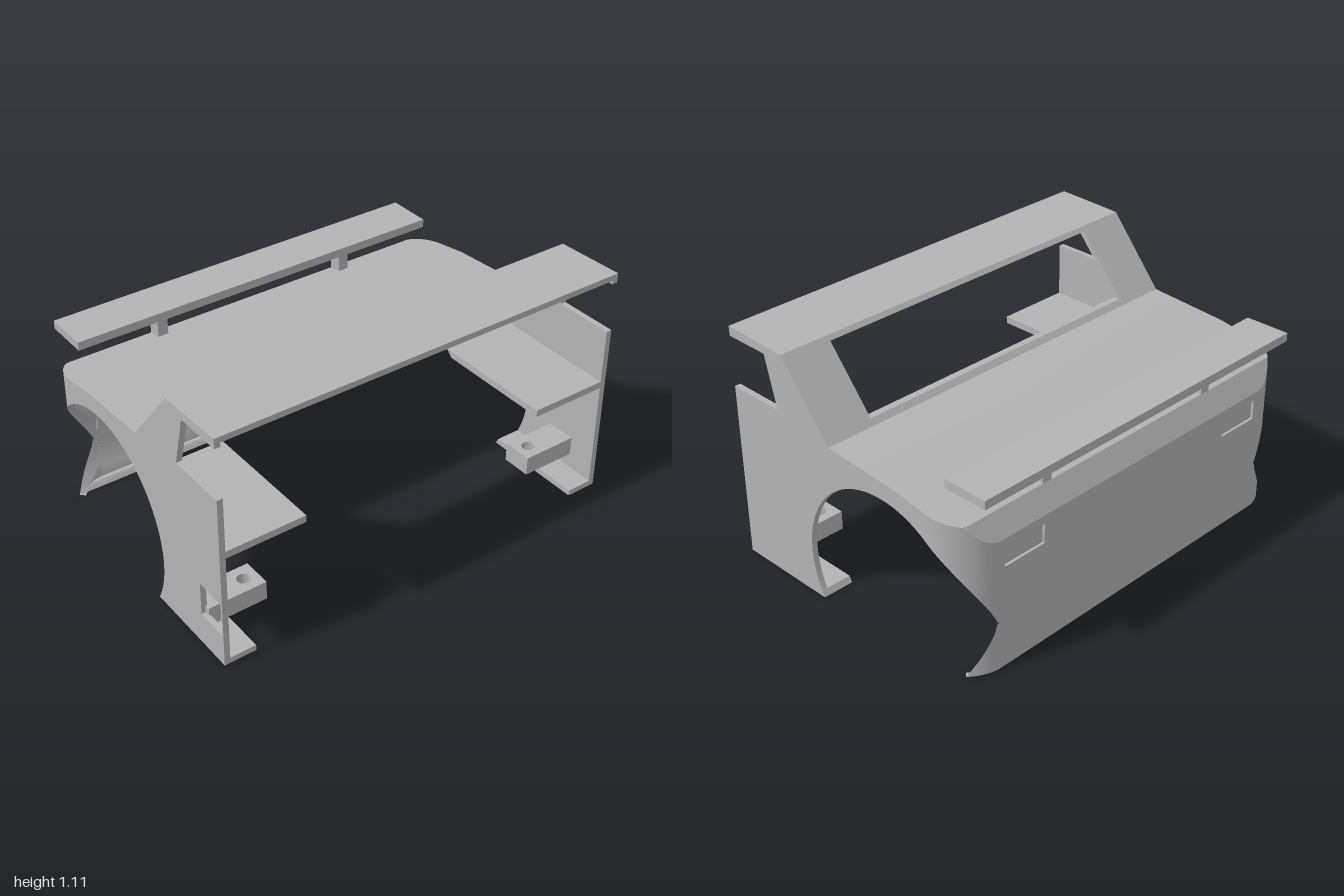
import * as THREE from 'three';
import { toCreasedNormals } from 'three/addons/utils/BufferGeometryUtils.js';

const T = 0.027;                       // shell thickness
const CX = -0.2, CY = 0.225, R = 0.4585; // wheel arch circle
const CORNER_X = -0.46, CORNER_Z = 0.8, CORNER_R = 0.2;

const OUTER = [[-0.66, 0.61], [-0.605, 0.71], [-0.29, 0.76], [0.1, 0.785], [0.365, 1.1], [0.7, 1.11]];
const INNER = [[-0.66, 0.59], [-0.633, 0.604], [-0.587, 0.685], [-0.287, 0.733], [0.11, 0.758], [0.378, 1.073], [0.7, 1.083]];

// Height of a polyline at x
function heightAt(line, x) {
  for (let i = 1; i < line.length; i++) {
    const [x0, y0] = line[i - 1], [x1, y1] = line[i];
    if (x <= x1) return y0 + (y1 - y0) * (Math.max(x, x0) - x0) / (x1 - x0);
  }
  return line[line.length - 1][1];
}
const xOnSlope = (line, i, y) =>
  line[i][0] + (line[i + 1][0] - line[i][0]) * (y - line[i][1]) / (line[i + 1][1] - line[i][1]);
const archHalf = (x) => Math.sqrt(Math.max(0, R * R - (x - CX) ** 2));
const archTop = (x) => CY + archHalf(x);
const archBottom = (x) => Math.max(0, CY - archHalf(x));
const archRightX = (y) => CX + Math.sqrt(R * R - (y - CY) ** 2);
const archLeftX = (y) => 2 * CX - archRightX(y);
const angleAt = (x, y) => Math.atan2(y - CY, x - CX);
const halfWidth = (x) => (x >= CORNER_X ? 1
  : CORNER_Z + Math.sqrt(Math.max(0, CORNER_R ** 2 - (x - CORNER_X) ** 2)));

// Skin a series of matching rings and close both ends
function loft(rings) {
  const pos = [];
  const tri = (a, b, c) => pos.push(...a, ...b, ...c);
  const n = rings[0].length, last = rings[rings.length - 1];
  for (let k = 0; k + 1 < rings.length; k++) {
    for (let i = 0; i < n; i++) {
      const j = (i + 1) % n, a = rings[k], b = rings[k + 1];
      tri(a[i], a[j], b[j]);
      tri(a[i], b[j], b[i]);
    }
  }
  for (let i = 1; i + 1 < n; i++) {
    tri(rings[0][0], rings[0][i + 1], rings[0][i]);
    tri(last[0], last[i], last[i + 1]);
  }
  const g = new THREE.BufferGeometry();
  g.setAttribute('position', new THREE.Float32BufferAttribute(pos, 3));
  return toCreasedNormals(g, 0.4);
}

// Full-width slab following the rounded plan of the tail
function slab(xs, bottom, top) {
  return loft(xs.map((x) => {
    const w = halfWidth(x) - 0.008, b = bottom(x), t = top(x);
    return [[x, b, w], [x, b, -w], [x, t, -w], [x, t, w]];
  }));
}
const range = (a, b, n) => Array.from({ length: n + 1 }, (_, i) => a + (b - a) * i / n);

const polygon = (pts) => new THREE.Shape(pts.map(([x, y]) => new THREE.Vector2(x, y)));
const rect = (x0, x1, y0, y1) => polygon([[x0, y0], [x1, y0], [x1, y1], [x0, y1]]);

// Side-view shape extruded from z0 to z1
function extrude(shape, z0, z1) {
  const g = new THREE.ExtrudeGeometry(shape, { depth: z1 - z0, bevelEnabled: false, curveSegments: 64 });
  return toCreasedNormals(g.translate(0, 0, z0), 0.4);
}

export function createModel() {
  const model = new THREE.Group();
  const paint = new THREE.MeshStandardMaterial({ color: 0xb4b4b4 });
  paint.name = 'bodyGrey';
  const add = (name, geometry) => {
    const m = new THREE.Mesh(geometry, paint);
    m.name = name;
    model.add(m);
  };
  const box = (name, x0, x1, y0, y1, z0, z1) => add(name,
    new THREE.BoxGeometry(x1 - x0, y1 - y0, z1 - z0).translate((x0 + x1) / 2, (y0 + y1) / 2, (z0 + z1) / 2));

  // Rear deck: rounded tail, then straight run up to the window sill
  const tailXs = [...range(0, 1, 14).map((t) => -0.66 + 0.2 * t * t), -0.633, -0.605, -0.587].sort((a, b) => a - b);
  add('deckTail', slab(tailXs, (x) => heightAt(INNER, x), (x) => heightAt(OUTER, x)));
  const sill = 0.81, head = 1.08;
  const so = [xOnSlope(OUTER, 3, sill), sill], si = [xOnSlope(INNER, 4, sill), sill];
  const ho = [xOnSlope(OUTER, 3, head), head], hi = [0.378, 1.073];
  add('deck', extrude(polygon([[CORNER_X, heightAt(OUTER, CORNER_X)], OUTER[2], OUTER[3], so, si,
    INNER[4], INNER[3], [CORNER_X, heightAt(INNER, CORNER_X)]]), -0.99, 0.99));

  // Roof and the window pillars
  add('roof', extrude(polygon([ho, OUTER[4], OUTER[5], INNER[6], hi]), -0.99, 0.99));
  for (const [z0, z1] of [[0.76, 0.99], [-0.99, -0.76]]) {
    add('windowPillar', extrude(polygon([so, ho, hi, si]), z0, z1));
  }

  for (const s of [1, -1]) {
    const span = (a, b) => (s > 0 ? [a, b] : [-b, -a]);

    // Side wall with wheel arch and side window
    const y0 = archTop(CORNER_X);
    const wall = polygon([[CORNER_X, y0], [CORNER_X, heightAt(OUTER, CORNER_X)], ...OUTER.slice(2),
      [0.7, 1.065], [0.475, 1.065], [0.415, 0.83], [0.7, 0.83], [0.7, 0], [archRightX(0), 0]]);
    wall.absarc(CX, CY, R, angleAt(archRightX(0), 0), angleAt(CORNER_X, y0), false);
    if (s > 0) wall.holes.push(rect(0.54, 0.69, 0.155, 0.315));
    add('sideWall', extrude(wall, ...span(1 - T, 1)));

    // Rounded rear corner, cut above and below by the arch
    const corner = (name, from, bottom, top) => add(name, loft(range(from, Math.PI / 2, 20).map((a) => {
      const layers = range(CORNER_R - T, CORNER_R, 5).map((r) =>
        [CORNER_X - r * Math.sin(a), s * (CORNER_Z + r * Math.cos(a))]);
      const ring = [...layers.map(([x, z]) => [x, bottom(x), z]),
        ...layers.reverse().map(([x, z]) => [x, top(x), z])];
      return s > 0 ? ring : ring.reverse();
    })));
    corner('rearCornerUpper', 0, archTop, (x) => heightAt(OUTER, x));
    corner('rearCornerLower', Math.asin(0.7), () => 0, archBottom);

    // Inner shelf and floor, trimmed by the arch
    const trimmed = (lo, hiY) => {
      const shape = polygon([[0.7, hiY], [0.7, lo], [archRightX(lo), lo]]);
      for (const y of range(lo, hiY, 4).slice(1)) shape.lineTo(archRightX(y), y);
      return shape;
    };
    add('sideShelf', extrude(trimmed(0.54, 0.573), ...span(0.6, 0.98)));
    add('sideFloor', extrude(trimmed(0, T), ...span(0.85, 0.98)));

    // Mounting block with a vertical bore
    const [b0, b1] = span(0.705, 0.98);
    const block = rect(0.425, 0.565, b0, b1);
    block.holes.push(new THREE.Path().absarc(0.495, s * 0.77, 0.03, 0, Math.PI * 2, true));
    const blockGeo = new THREE.ExtrudeGeometry(block, { depth: 0.09, bevelEnabled: false, curveSegments: 16 });
    add('mountingBlock', toCreasedNormals(blockGeo.rotateX(Math.PI / 2).translate(0, 0.19, 0), 0.6));

    // Wing post
    box('wingPost', -0.605, -0.54, 0.665, 0.835, ...span(0.465, 0.515));
  }

  // Rear panel, hollowed by the arch
  const inX = -0.66 + T;
  const panel = polygon([[-0.66, 0], [-0.66, 0.44], [-0.648, 0.44], [-0.648, 0.625], [inX, 0.65], [inX, archTop(inX)]]);
  panel.absarc(CX, CY, R, angleAt(inX, archTop(inX)), 2 * Math.PI - angleAt(inX, archTop(inX)), false);
  panel.lineTo(inX, 0);
  add('rearPanel', extrude(panel, -CORNER_Z, CORNER_Z));

  // Outer rear skin with two lamp recesses
  const skin = rect(-CORNER_Z, CORNER_Z, 0.44, 0.61);
  skin.holes.push(rect(0.56, 0.78, 0.48, 0.57), rect(-0.78, -0.56, 0.48, 0.57));
  add('rearSkin', new THREE.ExtrudeGeometry(skin, { depth: 0.012, bevelEnabled: false })
    .rotateY(Math.PI / 2).translate(-0.66, 0, 0));

  // Ledge and bottom lip inside the tail
  add('rearLedge', slab(range(-0.645, archLeftX(0.573), 16),
    (x) => Math.min(0.573, Math.max(0.54, archTop(x))), () => 0.573));
  add('rearBottomLip', slab(range(-0.655, archLeftX(0), 10), () => 0, (x) => Math.min(T, archBottom(x))));

  // Rear wing
  box('wing', -0.705, -0.49, 0.83, 0.87, -0.925, 0.925);

  return model;
}
